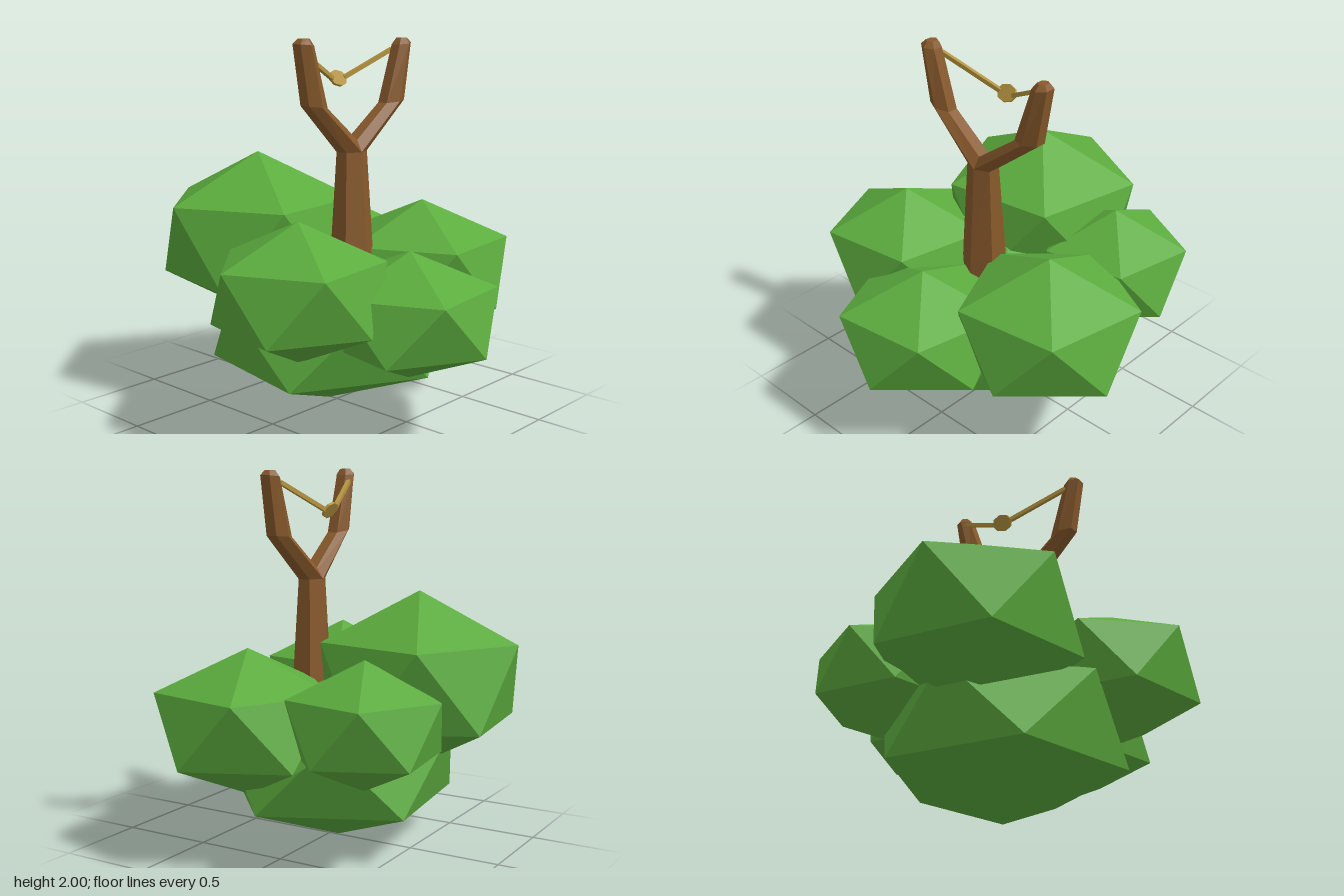
import * as THREE from 'three';

const leafGreen = new THREE.MeshStandardMaterial({ name: 'leafGreen', color: 0x5cac3e, flatShading: true });
const woodBrown = new THREE.MeshStandardMaterial({ name: 'woodBrown', color: 0x87592b, flatShading: true });
const bandTan = new THREE.MeshStandardMaterial({ name: 'bandTan', color: 0xb59440, flatShading: true });

const AXIS_X = 0.125; // the slingshot stands in this plane

function mesh(name, geometry, material) {
  const m = new THREE.Mesh(geometry, material);
  m.name = name;
  return m;
}

// Icosahedron standing on a vertex, squashed in height
function leafClump(name, x, y, z, radius, height) {
  const g = new THREE.IcosahedronGeometry(1, 0);
  g.rotateZ(-Math.atan(2 / (1 + Math.sqrt(5))));
  g.rotateY(THREE.MathUtils.degToRad(-29));
  g.scale(radius, height, radius);
  g.translate(x, y, z);
  return mesh(name, g, leafGreen);
}

// Six-sided branch; each section is [z front, y front, z back, y back, half width in x]
function branch(name, sections) {
  const pos = [], index = [], N = 6;
  for (const [z1, y1, z2, y2, w] of sections) {
    for (let k = 0; k < N; k++) {
      const a = (k / N) * Math.PI * 2;
      const s = Math.sin(a) / Math.sin(Math.PI / 3) / 2;
      pos.push(AXIS_X + Math.cos(a) * w, (y1 + y2) / 2 + s * (y1 - y2), (z1 + z2) / 2 + s * (z1 - z2));
    }
  }
  for (let r = 0; r < sections.length - 1; r++) {
    for (let k = 0; k < N; k++) {
      const a = r * N + k, b = r * N + (k + 1) % N;
      index.push(a, a + N, b, b, a + N, b + N);
    }
  }
  // End caps
  const last = (sections.length - 1) * N;
  for (let k = 1; k < N - 1; k++) {
    index.push(0, k, k + 1, last, last + k + 1, last + k);
  }
  const g = new THREE.BufferGeometry();
  g.setAttribute('position', new THREE.Float32BufferAttribute(pos, 3));
  g.setIndex(index);
  const flat = g.toNonIndexed();
  flat.computeVertexNormals();
  return mesh(name, flat, woodBrown);
}

// Thin strap between two points
function strap(name, from, to) {
  const a = new THREE.Vector3(...from), b = new THREE.Vector3(...to);
  const m = mesh(name, new THREE.BoxGeometry(0.022, 0.022, a.distanceTo(b)), bandTan);
  m.position.copy(a).lerp(b, 0.5);
  m.lookAt(b);
  return m;
}

export function createModel() {
  const model = new THREE.Group();
  model.name = 'slingshotBush';

  // Bush
  const bush = new THREE.Group();
  bush.name = 'bush';
  bush.add(
    leafClump('baseClump', -0.05, 0.45, 0.01, 0.716, 0.45),
    leafClump('tallRightClump', -0.47, 0.895, 0.135, 0.597, 0.47),
    leafClump('frontClump', 0.22, 0.76, 0.52, 0.494, 0.363),
    leafClump('leftClump', 0.55, 0.61, 0.05, 0.5, 0.335),
    leafClump('backLeftClump', 0.19, 0.705, -0.5, 0.537, 0.385),
    leafClump('backRightClump', -0.45, 0.74, -0.42, 0.445, 0.33)
  );
  model.add(bush);

  // Forked wooden frame
  const frame = new THREE.Group();
  frame.name = 'slingshotFrame';
  frame.add(
    branch('trunk', [
      [0.14, 0.5, -0.1, 0.5, 0.125],
      [0.125, 0.9, -0.09, 0.9, 0.105],
      [0.10, 1.41, -0.06, 1.41, 0.07]
    ]),
    branch('frontArm', [
      [0.10, 1.41, -0.06, 1.41, 0.07],
      [0.37, 1.67, 0.235, 1.65, 0.06],
      [0.425, 1.975, 0.33, 1.965, 0.056],
      [0.40, 2.0, 0.35, 2.0, 0.033]
    ]),
    branch('backArm', [
      [0.10, 1.41, -0.06, 1.41, 0.07],
      [-0.225, 1.645, -0.37, 1.655, 0.06],
      [-0.33, 1.95, -0.425, 1.96, 0.056],
      [-0.355, 1.985, -0.405, 1.985, 0.033]
    ])
  );
  model.add(frame);

  // Elastic bands and pouch
  const pouch = mesh('pouch', new THREE.CylinderGeometry(0.5, 0.5, 0.014, 8), bandTan);
  pouch.scale.set(0.095, 1, 0.125);
  pouch.rotation.z = THREE.MathUtils.degToRad(-58);
  pouch.position.set(-0.012, 1.78, -0.02);
  model.add(
    pouch,
    strap('frontBand', [0.085, 1.93, 0.345], [-0.01, 1.782, 0.025]),
    strap('backBand', [0.085, 1.925, -0.345], [-0.01, 1.782, -0.065])
  );
  return model;
}
